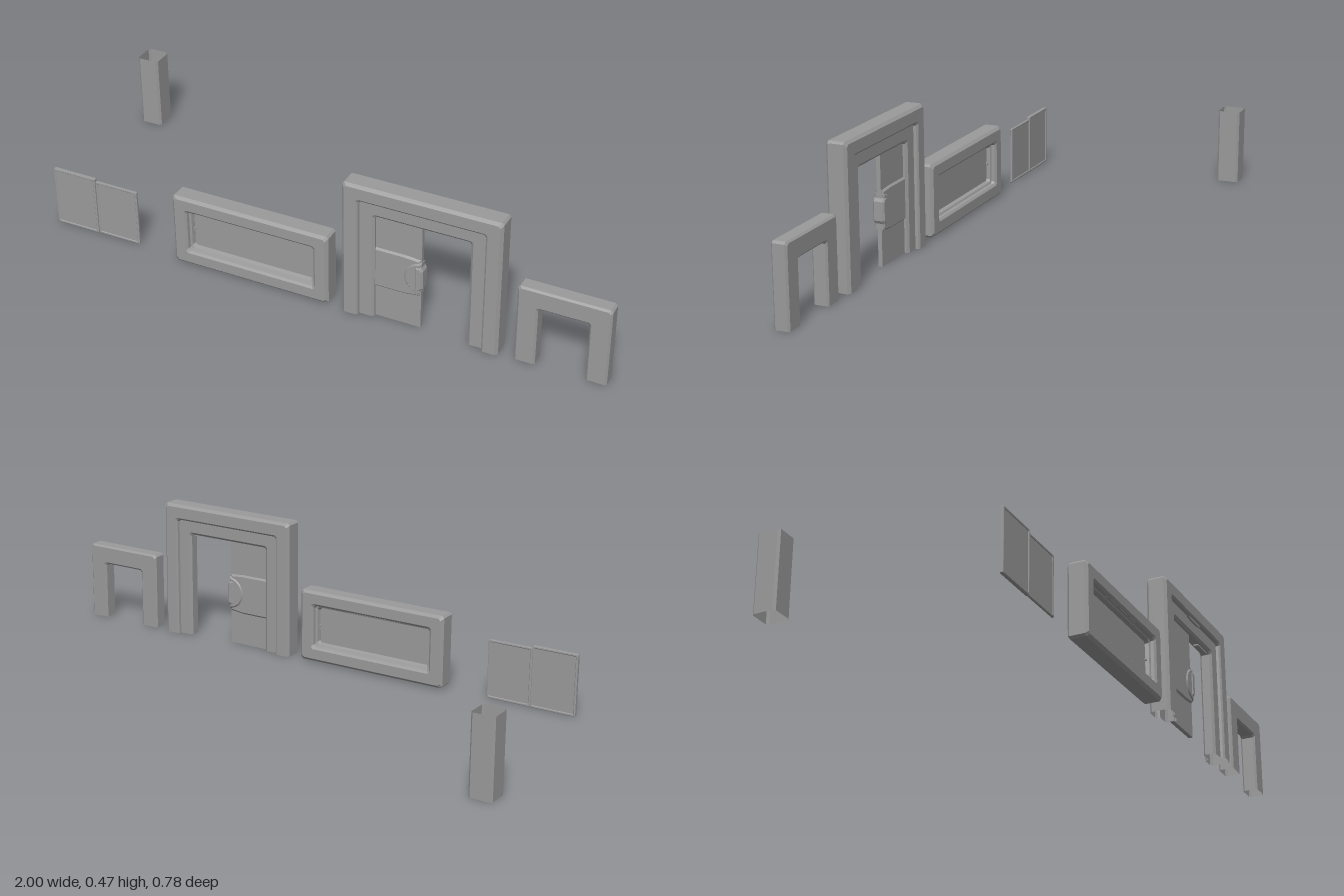
import * as THREE from 'three';

const material = new THREE.MeshStandardMaterial({ color: 0x9a9a9a, flatShading: true, side: THREE.DoubleSide });
const Z = 0.355; // centre plane of the wall row

function add(parent, name, geometry, x = 0, y = 0, z = 0) {
  const mesh = new THREE.Mesh(geometry, material);
  mesh.name = name;
  mesh.position.set(x, y, z);
  parent.add(mesh);
  return mesh;
}

// Box given by its x and y limits, centred on z
function slab(parent, name, x0, x1, y0, y1, depth, z = Z) {
  return add(parent, name, new THREE.BoxGeometry(x1 - x0, y1 - y0, depth), (x0 + x1) / 2, (y0 + y1) / 2, z);
}

// Bevelled plate from a shape, with full thickness centred on the wall plane
function plate(parent, name, shape, thickness, bevel) {
  const depth = thickness - 2 * bevel;
  const geometry = new THREE.ExtrudeGeometry(shape, {
    depth, bevelThickness: bevel, bevelSize: bevel, bevelOffset: -bevel, bevelSegments: 1, curveSegments: 12,
  });
  return add(parent, name, geometry, 0, 0, Z - depth / 2);
}

function polygon(points) {
  return new THREE.Shape(points.map(([x, y]) => new THREE.Vector2(x, y)));
}

// Rectangle path inset by d, corners clipped by c; open at the floor for doorways
function framePath(x0, x1, y0, y1, d, c, closed) {
  const l = x0 + d, r = x1 - d, t = y1 - d, b = closed ? y0 + d : y0;
  const top = [[l, t - c], [l + c, t], [r - c, t], [r, t - c]];
  return closed
    ? [[l, b + c], ...top, [r, b + c], [r - c, b], [l + c, b], [l, b + c]]
    : [[l, b], ...top, [r, b]];
}

// Sweep a profile, symmetric front to back, around the path.
// half: [inset, half depth] from the outer edge to the opening
function frameGeometry(x0, x1, y0, y1, half, closed, c = 0.007) {
  const profile = [...half.map(([d, h]) => [d, -h]), ...half.slice().reverse()];
  const n = profile.length;
  const paths = profile.map(([d]) => framePath(x0, x1, y0, y1, d, c, closed));
  const count = paths[0].length, position = [], index = [];
  for (let i = 0; i < count; i++) {
    profile.forEach(([, z], j) => position.push(paths[j][i][0], paths[j][i][1], z));
  }
  for (let i = 0; i < count - 1; i++) {
    for (let j = 0; j < n; j++) {
      const k = (j + 1) % n;
      const a = i * n + j, b = a + n, e = i * n + k, f = e + n;
      index.push(a, b, f, a, f, e);
    }
  }
  const g = new THREE.BufferGeometry();
  g.setAttribute('position', new THREE.Float32BufferAttribute(position, 3));
  g.setIndex(index);
  g.computeVertexNormals();
  return g;
}

function makeWindow() {
  const g = new THREE.Group();
  g.name = 'window';
  const profile = [[0, 0.025], [0.009, 0.034], [0.043, 0.034], [0.05, 0.028], [0.052, 0.018], [0.058, 0.015], [0.062, 0.004]];
  add(g, 'windowFrame', frameGeometry(-0.449, 0.096, 0.005, 0.252, profile, true), 0, 0, Z);
  slab(g, 'windowPane', -0.39, 0.037, 0.064, 0.193, 0.006);
  for (const s of [-1, 1]) {
    slab(g, 'windowTopStrip', -0.29, -0.085, 0.2, 0.206, 0.008, Z + s * 0.021);
    for (const x of [-0.386, 0.033]) {
      const stud = add(g, 'windowStud', new THREE.CylinderGeometry(0.004, 0.004, 0.006, 8), x, 0.128, Z + s * 0.005);
      stud.rotation.x = Math.PI / 2;
    }
  }
  return g;
}

function makeDoorway() {
  const g = new THREE.Group();
  g.name = 'doorway';
  const profile = [[0, 0.026], [0.009, 0.035], [0.047, 0.035], [0.053, 0.03], [0.055, 0.021], [0.062, 0.021],
    [0.095, 0.021], [0.103, 0.014]];
  add(g, 'doorwayFrame', frameGeometry(0.144, 0.66, 0, 0.47, profile, false), 0, 0, Z);
  for (const s of [-1, 1]) {
    // Shallow lamp under the lintel step
    const lamp = add(g, 'lintelLamp', new THREE.CylinderGeometry(0.05, 0.05, 0.008, 16), 0.4, 0.414, Z + s * 0.024);
    lamp.rotation.x = Math.PI / 2;
    lamp.scale.z = 0.12;
  }
  slab(g, 'lintelCatch', 0.475, 0.555, 0.362, 0.368, 0.016);
  return g;
}

function makeDoorLeaf() {
  const g = new THREE.Group();
  g.name = 'doorLeaf';
  slab(g, 'doorPanel', 0.243, 0.398, 0, 0.367, 0.014);
  // Thicker middle band with sloping upper and lower edges
  plate(g, 'doorBand', polygon([[0.24, 0.11], [0.345, 0.11], [0.398, 0.116], [0.398, 0.25], [0.345, 0.254],
    [0.24, 0.254]]), 0.026, 0.008);
  // Half round lock with a clipped grip on the free edge
  const lock = new THREE.Shape();
  lock.absarc(0.4, 0.183, 0.057, Math.PI / 2, Math.PI * 1.5, false);
  lock.closePath();
  plate(g, 'doorLock', lock, 0.034, 0.006);
  plate(g, 'lockGrip', polygon([[0.38, 0.14], [0.399, 0.14], [0.406, 0.152], [0.406, 0.214], [0.399, 0.226],
    [0.38, 0.226]]), 0.04, 0.006);
  return g;
}

function makeSmallDoorway() {
  const profile = [[0, 0.02], [0.006, 0.026], [0.06, 0.026], [0.066, 0.02]];
  const mesh = new THREE.Mesh(frameGeometry(0.709, 1, 0, 0.267, profile, false), material);
  mesh.name = 'smallDoorway';
  mesh.position.z = 0.354;
  return mesh;
}

// Two thin sliding door leaves with a raised rim
function makePanels() {
  const g = new THREE.Group();
  g.name = 'slidingPanels';
  for (const [x0, x1, top, h] of [[-0.911, -0.755, 0.206, 0.006], [-0.754, -0.6, 0.198, 0.004]]) {
    const profile = [[0, h - 0.001], [0.002, h], [0.006, h], [0.008, h - 0.002]];
    add(g, 'panelRim', frameGeometry(x0, x1, 0, top, profile, true, 0.002), 0, 0, 0.353);
    slab(g, 'panelSheet', x0 + 0.007, x1 - 0.007, 0.007, top - 0.007, 2 * h - 0.004, 0.353);
  }
  return g;
}

// Hollow post with clipped corners, open at both ends
function makePost() {
  const x = 0.0385, z = 0.0385, c = 0.007, h = 0.257;
  const ring = [[-x, -z + c], [-x, z - c], [-x + c, z], [x - c, z], [x, z - c], [x, -z + c], [x - c, -z], [-x + c, -z]];
  const position = [], index = [];
  ring.forEach(([px, pz], i) => {
    position.push(px, 0, pz, px, h, pz);
    const a = 2 * i, b = 2 * ((i + 1) % ring.length);
    index.push(a, b, b + 1, a, b + 1, a + 1);
  });
  const g = new THREE.BufferGeometry();
  g.setAttribute('position', new THREE.Float32BufferAttribute(position, 3));
  g.setIndex(index);
  g.computeVertexNormals();
  const mesh = new THREE.Mesh(g, material);
  mesh.name = 'post';
  mesh.position.set(-0.9615, 0, -0.3515);
  return mesh;
}

export function createModel() {
  const model = new THREE.Group();
  model.name = 'wallParts';
  model.add(makePost(), makePanels(), makeWindow(), makeDoorway(), makeDoorLeaf(), makeSmallDoorway());
  return model;
}
